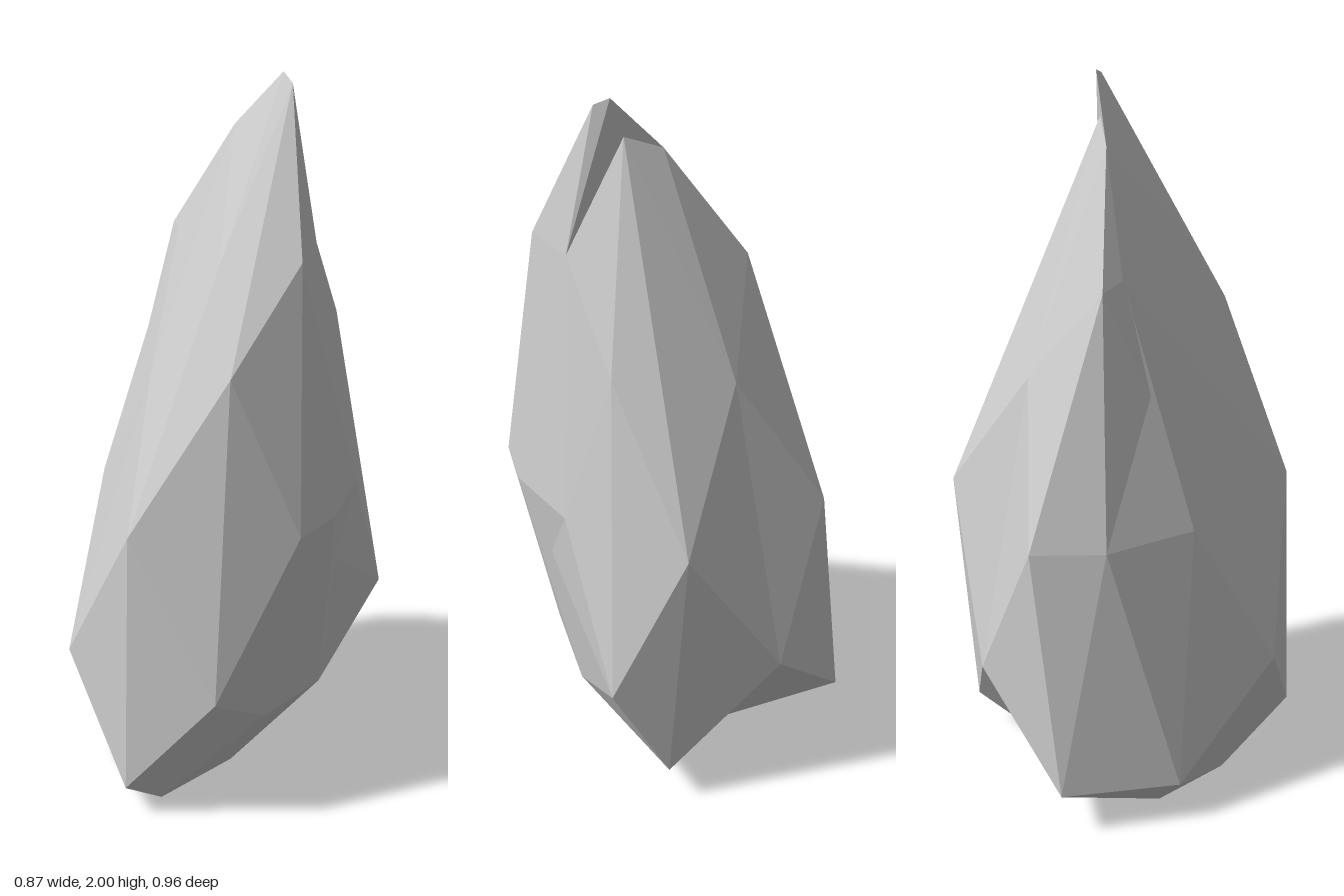
import * as THREE from 'three';
import { ConvexGeometry } from 'three/addons/geometries/ConvexGeometry.js';

const stone = new THREE.MeshStandardMaterial({ color: 0xcccccc });
stone.name = 'pale grey stone';

// flat-faced chunk of stone spanned by its corner points
function chunk(name, corners) {
  const geometry = new ConvexGeometry(corners.map((c) => new THREE.Vector3(...c)));
  const mesh = new THREE.Mesh(geometry, stone);
  mesh.name = name;
  return mesh;
}

// corners shared by all chunks of the body, by level from the ground up
const foot = [
  [-0.13, 0, 0.27], [0.10, 0, 0.35], [0.135, 0, 0.08],
  [0.10, 0, -0.16], [-0.155, 0, -0.09], [-0.28, 0, 0.08],
];
const base = [
  [0.08, 0.09, 0.48], [0.31, 0.25, 0.155], [0.30, 0.23, -0.115], [-0.38, 0.12, 0.13],
];
const lowerWaist = [[-0.18, 0.40, 0.405], [0.32, 0.40, 0.39], [-0.20, 0.41, -0.41]];
const waist = [
  [0.08, 0.85, 0.455], [0.435, 0.85, 0.175], [0.35, 0.85, -0.20], [-0.355, 0.85, -0.07],
];
const shoulderBack = [[0.23, 1.30, -0.26], [-0.10, 1.25, -0.265]];
const shoulderFront = [
  [0.29, 1.30, 0.29], [-0.03, 1.20, 0.22], [-0.12, 1.53, -0.015],
  [0.36, 1.57, 0.085], [0.30, 1.57, -0.06], [0.16, 1.54, 0.17],
];
const neck = [[0.04, 1.84, -0.05], [0.145, 1.89, -0.06]];
const peak = [[0.18, 2.0, -0.07], [0.22, 1.98, -0.055]];
const core = [
  ...foot, ...base, ...lowerWaist, ...waist, ...shoulderBack, ...shoulderFront, ...neck,
];

// corners that stand out beside the shallow hollows, each side in its own chunk
const leftCorners = [[-0.435, 0.13, -0.20], [-0.35, 0.85, -0.275]];
const backCorners = [[0.12, 0.11, -0.43], [0.28, 0.41, -0.44], [0.08, 0.855, -0.48]];
const frontCorners = [[-0.24, 0.85, 0.17], [0.435, 0.85, 0.02]];
const leftShoulder = [-0.18, 1.52, -0.07];

export function createModel() {
  const rock = new THREE.Group();
  rock.name = 'rock';
  rock.add(
    chunk('rockFront', [...core, ...frontCorners, ...leftCorners]),
    chunk('rockLeft', [...core, ...leftCorners, leftShoulder]),
    chunk('rockBack', [...core, ...backCorners, leftShoulder]),
    // thin leaning tip, notched behind
    chunk('rockTip', [...shoulderFront, ...neck, ...peak]),
  );
  return rock;
}
